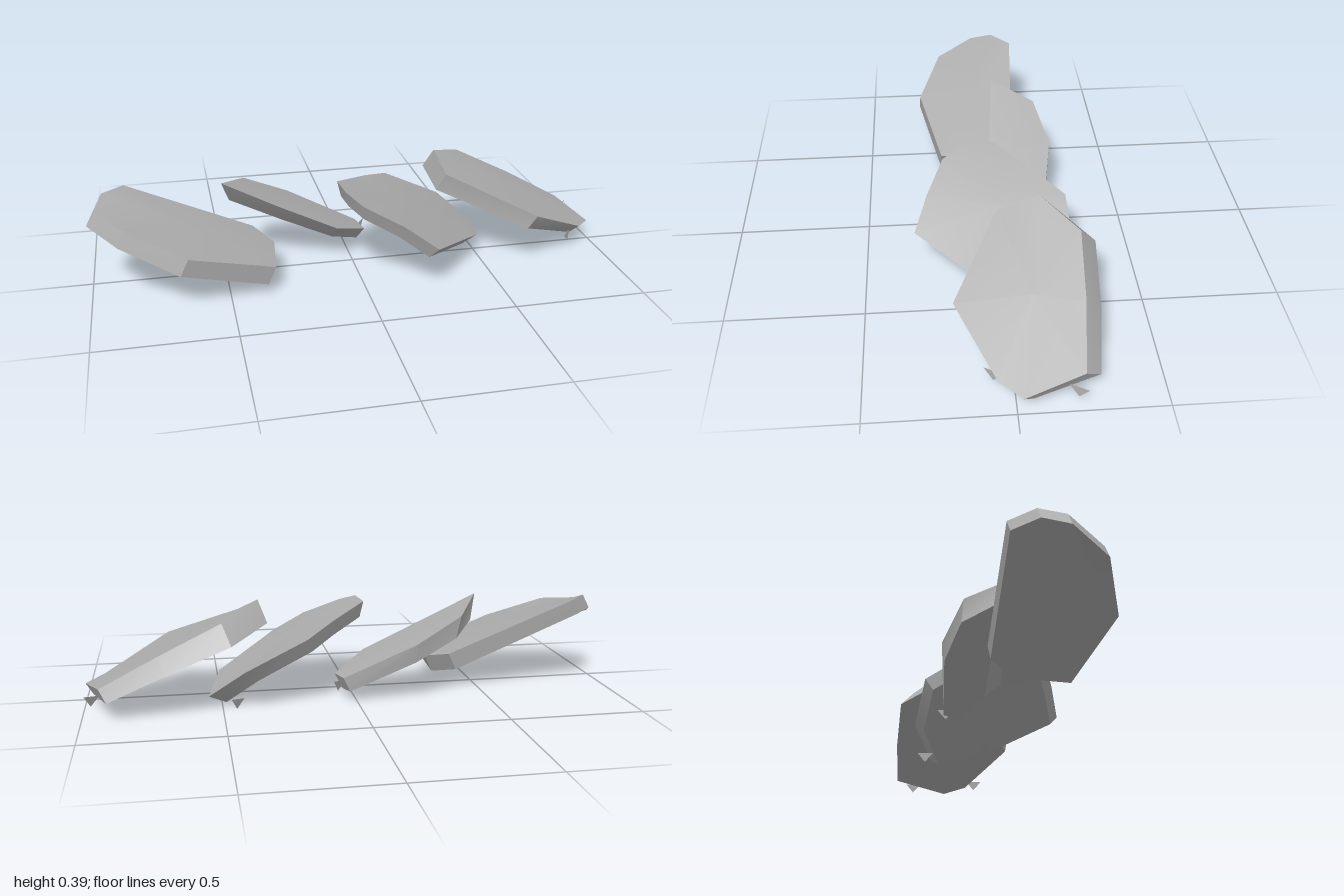
import * as THREE from 'three';
import { toCreasedNormals } from 'three/addons/utils/BufferGeometryUtils.js';

function geometryFrom(points) {
  const g = new THREE.BufferGeometry();
  g.setFromPoints(points);
  g.computeVertexNormals();
  return g;
}

// Slab from its upper rim (left, back, right, front). The lower rim is the
// upper one scaled about its centre and shifted; the top swells by rise.
function slabGeometry(rim, scale, shift, rise) {
  const top = rim.map(p => new THREE.Vector3(...p));
  const centre = top.reduce((s, p) => s.add(p), new THREE.Vector3()).divideScalar(top.length);
  const lower = centre.clone().add(new THREE.Vector3(...shift));
  const upper = centre.clone().setY(centre.y + rise);
  const factor = new THREE.Vector3(...scale);
  const bottom = top.map(p => p.clone().sub(centre).multiply(factor).add(lower));
  const tris = [];
  top.forEach((a, i) => {
    const j = (i + 1) % top.length;
    const b = top[j], c = bottom[i], d = bottom[j];
    tris.push(upper, b, a, lower, c, d, a, b, d, a, d, c);
  });
  return toCreasedNormals(geometryFrom(tris), 0.5);
}

// Thin loose splinter pointing down at its tip
function splinterGeometry(x, y, z) {
  return geometryFrom([
    new THREE.Vector3(x - 0.03, y + 0.03, z + 0.03),
    new THREE.Vector3(x, y, z),
    new THREE.Vector3(x + 0.02, y + 0.045, z - 0.03),
  ]);
}

export function createModel() {
  const group = new THREE.Group();
  group.name = 'steppingRocks';
  const stone = new THREE.MeshStandardMaterial({ color: 0xacacac, side: THREE.DoubleSide });
  stone.name = 'greyStone';

  const add = (name, geometry) => {
    const mesh = new THREE.Mesh(geometry, stone);
    mesh.name = name;
    group.add(mesh);
  };

  // Four tilted slabs, from right hand to left hand of the model
  add('firstSlab', slabGeometry([
    [-0.94, 0.345, -0.05], [-0.86, 0.34, -0.13], [-0.38, 0.14, -0.10], [-0.31, 0.11, 0],
    [-0.33, 0.10, 0.20], [-0.65, 0.20, 0.28], [-0.86, 0.285, 0.19], [-0.97, 0.315, 0.04],
  ], [1, 1.05, 1], [-0.03, -0.06, 0.005], 0.012));

  add('secondSlab', slabGeometry([
    [-0.50, 0.36, -0.02], [-0.40, 0.31, -0.19], [-0.22, 0.22, -0.24], [0.05, 0.09, -0.19],
    [0.07, 0.085, -0.10], [-0.06, 0.145, 0.01], [-0.28, 0.25, 0],
  ], [0.9, 0.85, 0.7], [0, -0.07, -0.03], 0.005));

  add('thirdSlab', slabGeometry([
    [-0.06, 0.34, 0], [0.08, 0.30, -0.14], [0.19, 0.26, -0.25], [0.42, 0.15, -0.26],
    [0.55, 0.04, -0.17], [0.50, 0.08, 0.04], [0.26, 0.165, 0.315], [0.14, 0.245, 0.265],
    [0, 0.31, 0.20], [-0.05, 0.34, 0.12],
  ], [0.87, 0.9, 0.88], [-0.02, -0.05, 0], 0.015));

  add('fourthSlab', slabGeometry([
    [0.36, 0.39, -0.13], [0.50, 0.335, -0.26], [0.73, 0.22, -0.25], [0.94, 0.105, -0.225],
    [1, 0.07, -0.02], [0.93, 0.085, 0.06], [0.69, 0.205, 0.19], [0.37, 0.34, 0.02],
  ], [1, 0.85, 1.1], [-0.03, -0.055, -0.04], 0.008));

  // Splinters under the broken lower ends
  add('secondSlabSplinter', splinterGeometry(0.07, 0.04, -0.18));
  add('thirdSlabSplinter', splinterGeometry(0.45, 0, -0.21));
  add('fourthSlabSplinterFront', splinterGeometry(0.88, 0.035, 0.07));
  add('fourthSlabSplinterBack', splinterGeometry(0.97, 0.035, -0.20));
  return group;
}
